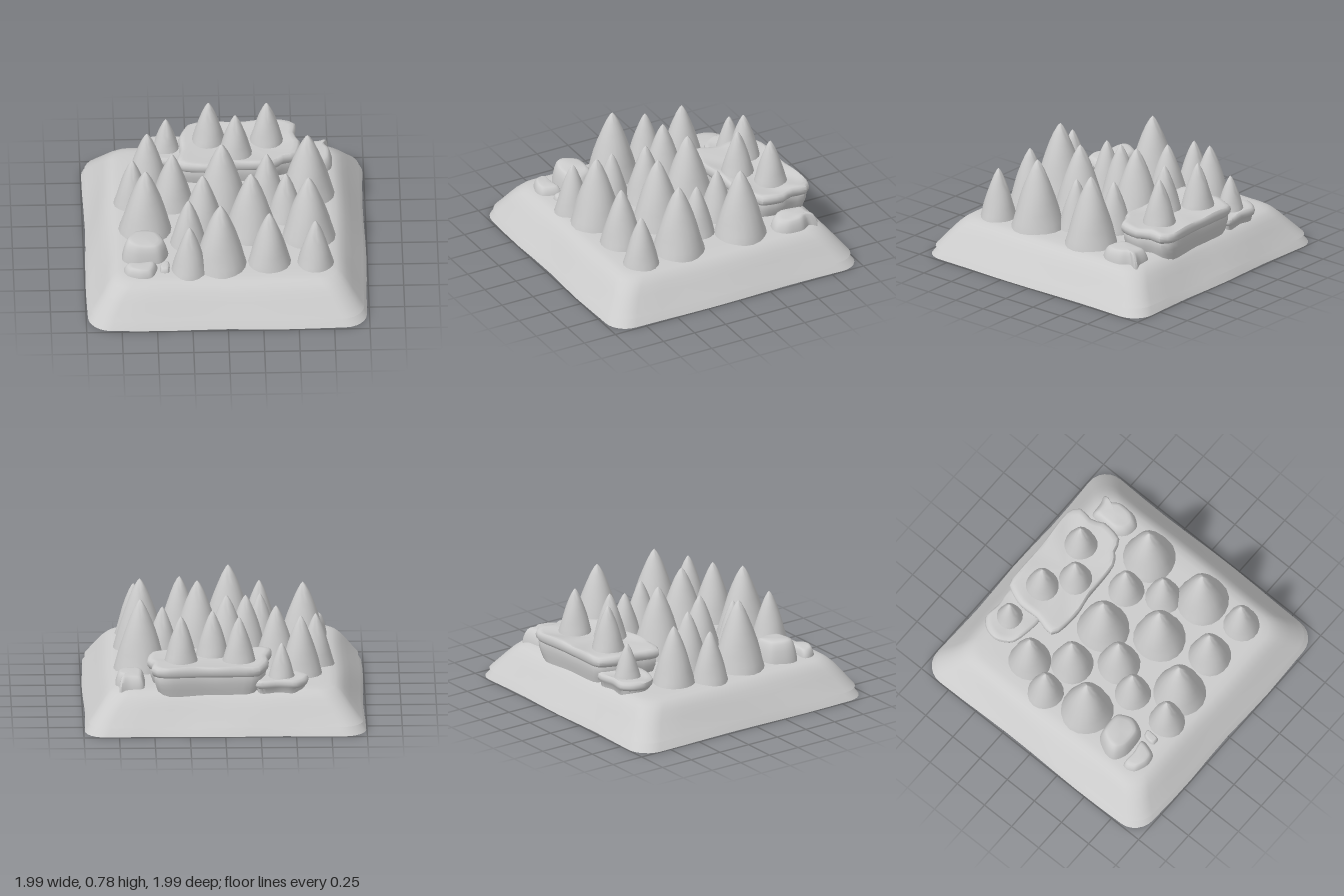
import * as THREE from 'three';
import { toCreasedNormals } from 'three/addons/utils/BufferGeometryUtils.js';

const material = new THREE.MeshStandardMaterial({ color: 0xcccccc, side: THREE.DoubleSide });

// Skin a list of equal-length rings (bottom to top), optionally closed with a top cap.
function loft(rings, cap, crease = 0.6) {
  const n = rings[0].length, pos = [], index = [];
  rings.forEach(r => r.forEach(p => pos.push(p.x, p.y, p.z)));
  for (let i = 0; i < rings.length - 1; i++) {
    for (let j = 0; j < n; j++) {
      const a = i * n + j, b = i * n + (j + 1) % n;
      index.push(a, a + n, b, b, a + n, b + n);
    }
  }
  if (cap) {
    const last = rings[rings.length - 1], c = new THREE.Vector3();
    last.forEach(p => c.addScaledVector(p, 1 / n));
    const k = (rings.length - 1) * n;
    pos.push(c.x, c.y, c.z);
    for (let j = 0; j < n; j++) index.push(k + j, rings.length * n, k + (j + 1) % n);
  }
  const g = new THREE.BufferGeometry();
  g.setAttribute('position', new THREE.Float32BufferAttribute(pos, 3));
  g.setIndex(index);
  return toCreasedNormals(g, crease);
}

function add(group, name, geometry) {
  const mesh = new THREE.Mesh(geometry, material);
  mesh.name = name;
  group.add(mesh);
  return mesh;
}

// Rounded square ring with a slightly uneven edge
function squareRing(y, half, radius, wobble = 0.006) {
  const pts = [], c = half - radius;
  for (let k = 0; k < 4; k++) {
    const corner = a => new THREE.Vector2(Math.cos(a), Math.sin(a));
    const a0 = -k * Math.PI / 2, mid = corner(a0 - Math.PI / 4).multiplyScalar(Math.SQRT2 * c);
    for (let i = 0; i <= 6; i++) {
      const d = corner(a0 - i / 6 * Math.PI / 2);
      pts.push(new THREE.Vector3(mid.x + d.x * radius, y, mid.y + d.y * radius));
    }
    const from = pts[pts.length - 1].clone();
    const nextMid = corner(a0 - Math.PI * 0.75).multiplyScalar(Math.SQRT2 * c);
    const dir = corner(a0 - Math.PI / 2);
    const to = new THREE.Vector3(nextMid.x + dir.x * radius, y, nextMid.y + dir.y * radius);
    for (let i = 1; i < 8; i++) pts.push(from.clone().lerp(to, i / 8));
  }
  pts.forEach(p => {
    const s = 1 - wobble + wobble * Math.sin(p.x * 7 + p.z * 5 + y * 9);
    p.x *= s;
    p.z *= s;
  });
  return pts;
}

// Rock from a plan outline [x, z] and levels [y, scale]; tilt lowers the top towards +x
function rockGeometry(outline, levels, tilt = 0) {
  const curve = new THREE.CatmullRomCurve3(
    outline.map(([x, z]) => new THREE.Vector3(x, 0, z)), true, 'catmullrom', 0.4);
  const plan = curve.getSpacedPoints(48).slice(0, 48);
  const area = plan.reduce((s, p, i) => {
    const q = plan[(i + 1) % 48];
    return s + p.x * q.z - q.x * p.z;
  }, 0);
  if (area > 0) plan.reverse();
  const c = new THREE.Vector3();
  plan.forEach(p => c.addScaledVector(p, 1 / 48));
  const y0 = levels[0][0], y1 = levels[levels.length - 1][0];
  const rings = levels.map(([y, s]) => plan.map(p => {
    const q = p.clone().sub(c).multiplyScalar(s).add(c);
    const t = (y - y0) / (y1 - y0);
    q.y = y - t * (tilt * (q.x - c.x) + 0.004 * (1 + Math.sin(q.x * 19 + q.z * 23)));
    return q;
  }));
  return loft(rings, true, 0.8);
}

// Conical tree: bulging profile with a little unevenness
const treeProfile = [[1, 0], [0.98, 0.04], [0.9, 0.14], [0.8, 0.28], [0.69, 0.42],
  [0.56, 0.57], [0.41, 0.72], [0.25, 0.86], [0.1, 0.96], [0.001, 1]];
function treeGeometry(radius, height, seed) {
  const rings = treeProfile.map(([r, t]) => Array.from({ length: 18 }, (_, j) => {
    const a = -j / 18 * Math.PI * 2;
    const s = radius * r * (1 + 0.018 * Math.sin(a * 3 + t * 8 + seed * 2.1));
    return new THREE.Vector3(Math.cos(a) * s, t * height, Math.sin(a) * s);
  }));
  return loft(rings, false, 0.7);
}

export function createModel() {
  const model = new THREE.Group();
  model.name = 'forestTile';

  // Hollow base: lower rim skirt and the raised ground above it
  const base = new THREE.Group();
  base.name = 'base';
  model.add(base);
  add(base, 'rim', loft([[0, 0.995, 0.16], [0.03, 0.975, 0.16], [0.068, 0.945, 0.15]]
    .map(l => squareRing(...l)), false));
  add(base, 'ground', loft([[0.062, 0.975, 0.16], [0.1, 0.945, 0.15], [0.17, 0.893, 0.14],
    [0.22, 0.855, 0.14], [0.255, 0.82, 0.14], [0.275, 0.785, 0.13], [0.284, 0.74, 0.12],
    [0.285, 0.66, 0.1]].map(l => squareRing(...l)), true));

  // Rocks
  const rocks = new THREE.Group();
  rocks.name = 'rocks';
  model.add(rocks);
  const slab = [[-0.2, -0.84], [0.14, -0.845], [0.43, -0.865], [0.52, -0.81], [0.51, -0.69],
    [0.55, -0.6], [0.52, -0.45], [0.42, -0.41], [0.35, -0.355], [0.08, -0.345], [-0.08, -0.32],
    [-0.28, -0.335], [-0.34, -0.38], [-0.305, -0.52], [-0.31, -0.67], [-0.26, -0.8]];
  add(rocks, 'largeRockFoot', rockGeometry(slab,
    [[0.24, 0.86], [0.3, 0.91], [0.34, 0.94], [0.38, 0.95], [0.41, 0.93], [0.42, 0.8]]));
  add(rocks, 'largeRockSlab', rockGeometry(slab,
    [[0.385, 0.9], [0.392, 0.96], [0.41, 0.99], [0.435, 1], [0.455, 0.985], [0.467, 0.95],
      [0.468, 0.88], [0.463, 0.8]]));
  const ledge = [[-0.5, -0.825], [-0.38, -0.815], [-0.22, -0.82], [-0.2, -0.65], [-0.26, -0.52],
    [-0.42, -0.525], [-0.53, -0.56], [-0.59, -0.66], [-0.57, -0.76]];
  add(rocks, 'lowRockLedge', rockGeometry(ledge,
    [[0.25, 0.86], [0.3, 0.9], [0.31, 0.97], [0.33, 1], [0.352, 0.97], [0.362, 0.88], [0.36, 0.75]]));
  const soft = h => [[0.26, 1], [0.285 + h * 0.1, 0.99], [0.285 + h * 0.55, 0.9],
    [0.285 + h * 0.85, 0.8], [0.285 + h * 0.97, 0.7], [0.285 + h, 0.55]];
  add(rocks, 'backLeftRock', rockGeometry([[0.58, -0.75], [0.68, -0.76], [0.74, -0.78],
    [0.745, -0.75], [0.73, -0.71], [0.77, -0.64], [0.765, -0.52], [0.71, -0.45], [0.62, -0.46],
    [0.565, -0.53], [0.565, -0.68]], soft(0.09)));
  add(rocks, 'frontRightRock', rockGeometry([[-0.67, 0.365], [-0.55, 0.345], [-0.46, 0.36],
    [-0.41, 0.47], [-0.47, 0.58], [-0.64, 0.595], [-0.73, 0.55], [-0.735, 0.47]], soft(0.15), 0.1));
  add(rocks, 'frontRightSmallRock', rockGeometry([[-0.71, 0.62], [-0.6, 0.62], [-0.5, 0.605],
    [-0.495, 0.66], [-0.53, 0.74], [-0.61, 0.755], [-0.7, 0.72], [-0.73, 0.66]], soft(0.06), 0.05));
  add(rocks, 'pebble', rockGeometry([[-0.46, 0.6], [-0.41, 0.585], [-0.405, 0.64],
    [-0.415, 0.69], [-0.465, 0.69], [-0.475, 0.65]], soft(0.04)));

  // Trees: x, z, radius, foot height, top height
  const trees = new THREE.Group();
  trees.name = 'trees';
  model.add(trees);
  const sizes = { L: [0.192, 0.26, 0.785], M: [0.157, 0.26, 0.705], S: [0.134, 0.26, 0.648],
    R: [0.12, 0.445, 0.778], T: [0.095, 0.345, 0.6] };
  const plan = [
    ['T', -0.4, -0.69], ['R', -0.1, -0.64], ['R', 0.31, -0.63], ['R', 0.085, -0.49],
    ['M', -0.54, -0.385], ['S', -0.65, -0.15], ['M', -0.37, -0.14], ['L', -0.02, -0.145],
    ['S', 0.3, -0.205], ['L', 0.59, -0.235], ['S', 0.43, 0.03], ['L', -0.565, 0.16],
    ['M', -0.16, 0.115], ['L', 0.18, 0.205], ['S', -0.265, 0.33], ['L', 0.585, 0.26],
    ['S', -0.265, 0.645], ['L', -0.045, 0.575], ['M', 0.3, 0.565], ['S', 0.625, 0.585]];
  plan.forEach(([size, x, z], i) => {
    const [radius, foot, top] = sizes[size];
    add(trees, 'tree', treeGeometry(radius, top - foot, i)).position.set(x, foot, z);
  });
  return model;
}
